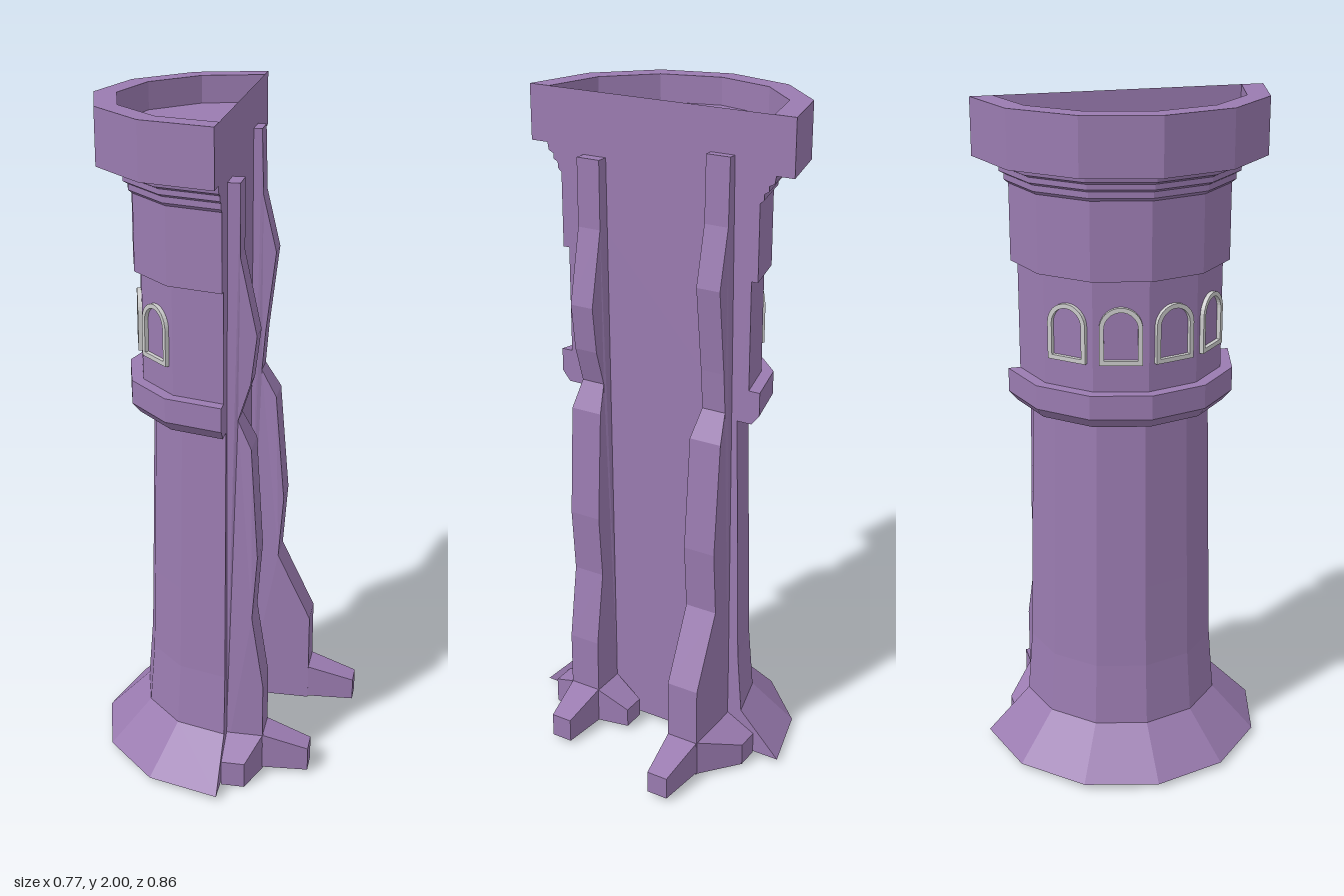
import * as THREE from 'three';
import { ConvexGeometry } from 'three/addons/geometries/ConvexGeometry.js';

const CUT = 0.045; // x of the flat cut face, also the axis of the half tower

export function createModel() {
  const model = new THREE.Group();
  const stone = new THREE.MeshStandardMaterial({ color: 0x9a7bb0, flatShading: true, side: THREE.DoubleSide });
  const trim = new THREE.MeshStandardMaterial({ color: 0xcccccc, flatShading: true });

  const add = (name, geometry, material = stone, parent = model) => {
    const mesh = new THREE.Mesh(geometry, material);
    mesh.name = name;
    parent.add(mesh);
    return mesh;
  };

  // Half of a twelve-sided turned form, on the -x side of the cut
  const halfLathe = (profile) => {
    const points = profile.map(([r, y]) => new THREE.Vector2(r, y));
    return new THREE.LatheGeometry(points, 6, Math.PI, Math.PI).translate(CUT, 0, 0);
  };

  // Outer profiles as [radius, height], bottom to top
  const sections = {
    shaft: [[0.43, 0.015], [0.30, 0.15], [0.285, 0.34], [0.278, 0.6], [0.265, 1.12]],
    balconyRing: [[0.265, 1.12], [0.31, 1.12], [0.335, 1.15], [0.335, 1.22], [0.30, 1.22]],
    upperStorey: [[0.30, 1.22], [0.30, 1.54], [0.32, 1.54], [0.32, 1.76]],
    cornice: [[0.32, 1.76], [0.332, 1.77], [0.332, 1.787], [0.346, 1.795], [0.346, 1.81],
      [0.362, 1.818], [0.366, 1.84], [0.42, 1.84]],
    parapet: [[0.42, 1.84], [0.42, 2], [0.355, 2], [0.355, 1.92]],
  };
  for (const [name, profile] of Object.entries(sections)) add(name, halfLathe(profile));
  add('towerBottom', halfLathe([[0, 0.015], [0.43, 0.015]]));
  add('roofFloor', halfLathe([[0.355, 1.92], [0, 1.92]]));

  // Flat cut face, the mirrored outline of the tower
  const outline = [...Object.values(sections).slice(0, 4).flat(), [0.42, 2]];
  const face = new THREE.Shape([
    ...outline.map(([r, y]) => new THREE.Vector2(r, y)),
    ...outline.slice().reverse().map(([r, y]) => new THREE.Vector2(-r, y)),
  ]);
  add('cutFace', new THREE.ShapeGeometry(face).rotateY(Math.PI / 2).translate(CUT, 0, 0));

  // Arched window frames on four faces of the upper storey
  const arch = (target, halfWidth, bottom, spring) => {
    target.moveTo(-halfWidth, bottom);
    target.lineTo(halfWidth, bottom);
    target.lineTo(halfWidth, spring);
    target.absarc(0, spring, halfWidth, 0, Math.PI, false);
    target.lineTo(-halfWidth, bottom);
    return target;
  };
  const frame = arch(new THREE.Shape(), 0.06, 1.3, 1.405);
  frame.holes.push(arch(new THREE.Path(), 0.047, 1.313, 1.405));
  const frameGeometry = new THREE.ExtrudeGeometry(frame, { depth: 0.016, bevelEnabled: false, curveSegments: 8 });
  const apothem = 0.30 * Math.cos(Math.PI / 12);
  const windows = new THREE.Group();
  windows.name = 'windows';
  model.add(windows);
  for (const degrees of [45, 75, 105, 135]) {
    const a = THREE.MathUtils.degToRad(degrees);
    const mesh = add('windowFrame', frameGeometry, trim, windows);
    mesh.rotation.y = -a;
    mesh.position.set(CUT - Math.sin(a) * (apothem - 0.004), 0, Math.cos(a) * (apothem - 0.004));
  }

  // Wavy buttress on the cut face: side outline extruded, thinner above y = 1.15
  const buttress = (name, z, edge) => {
    const top = edge[edge.length - 1][1];
    const shape = new THREE.Shape([[0.04, 0.015], ...edge, [0.04, top]].map(([x, y]) => new THREE.Vector2(x, y)));
    const geometry = new THREE.ExtrudeGeometry(shape, { depth: 1, bevelEnabled: false }).translate(0, 0, -0.5);
    const p = geometry.attributes.position;
    for (let i = 0; i < p.count; i++) {
      const width = p.getY(i) > 1.14 ? 0.074 : 0.1;
      p.setZ(i, z + p.getZ(i) * width);
    }
    add(name, geometry);
  };
  buttress('frontButtress', 0.205, [[0.155, 0.015], [0.155, 0.3], [0.12, 0.53], [0.135, 0.73], [0.115, 1.07],
    [0.075, 1.15], [0.11, 1.26], [0.127, 1.4], [0.08, 1.62], [0.08, 1.82]]);
  buttress('backButtress', -0.205, [[0.24, 0.015], [0.24, 0.31], [0.135, 0.53], [0.15, 0.73], [0.122, 1.07],
    [0.075, 1.15], [0.085, 1.27], [0.115, 1.52], [0.075, 1.69], [0.07, 1.88]]);

  // Tapered root between two upright rectangles: [ax, az, bx, bz, bottom, top]
  const root = (name, ...ends) => {
    const points = ends.flatMap(([ax, az, bx, bz, y0, y1]) => [y0, y1].flatMap((y) => [
      new THREE.Vector3(ax, y, az), new THREE.Vector3(bx, y, bz),
    ]));
    add(name, new ConvexGeometry(points));
  };
  root('frontButtressToe', [0.15, 0.155, 0.15, 0.255, 0.015, 0.13], [0.292, 0.172, 0.292, 0.238, 0.01, 0.085]);
  root('frontOuterRoot', [0.045, 0.25, 0.157, 0.25, 0.01, 0.13], [0.045, 0.345, 0.115, 0.345, 0, 0.08]);
  root('frontInnerRoot', [0.045, 0.16, 0.157, 0.16, 0.015, 0.13], [0.065, 0.058, 0.137, 0.058, 0.015, 0.075]);
  root('backButtressToe', [0.235, -0.155, 0.235, -0.255, 0.02, 0.13], [0.385, -0.172, 0.385, -0.238, 0.015, 0.085]);
  root('backOuterRoot', [0.045, -0.25, 0.241, -0.25, 0.015, 0.13], [0.045, -0.345, 0.115, -0.345, 0.01, 0.08]);

  return model;
}
